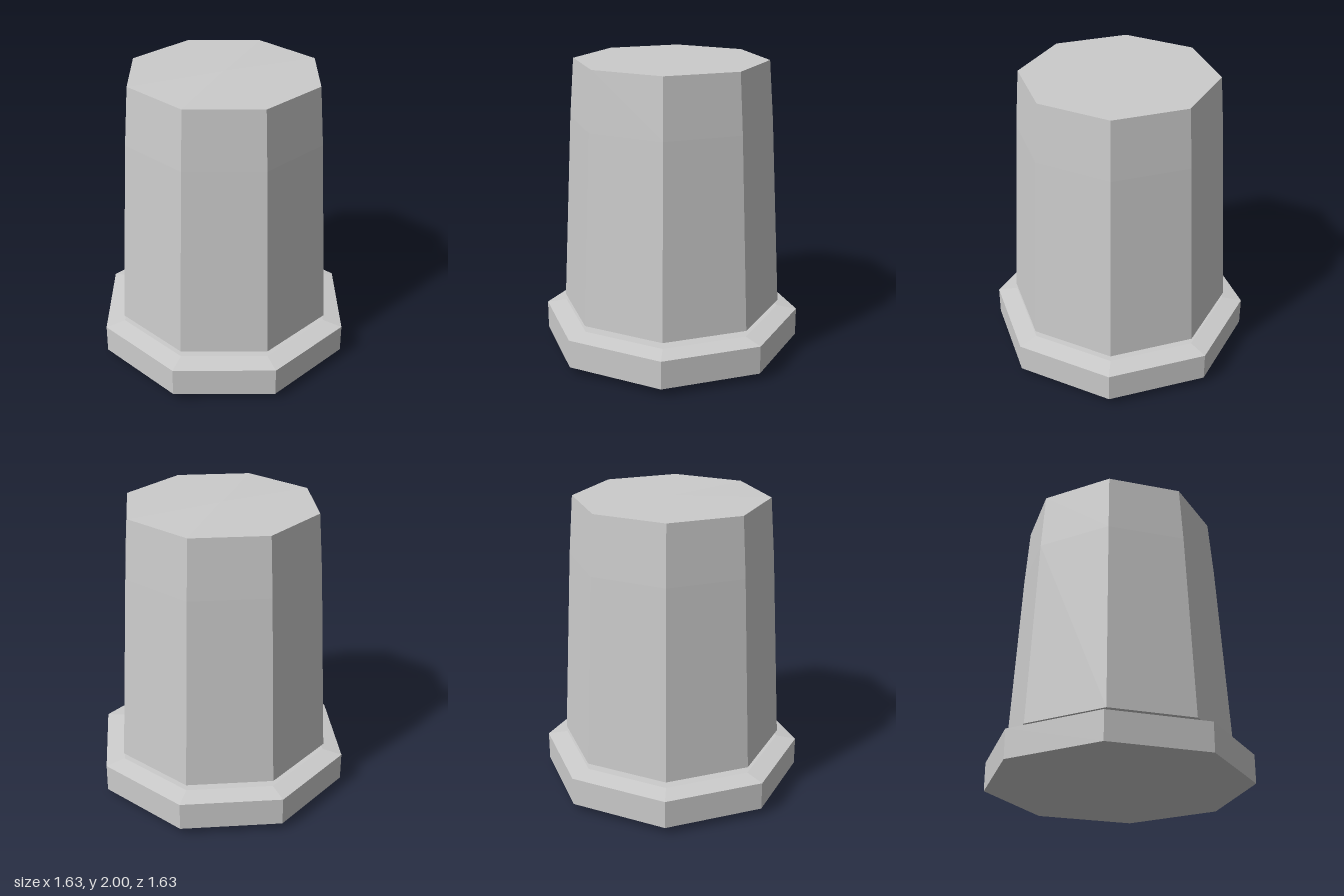
import * as THREE from 'three';

const SIDES = 8;
const TURN = Math.PI / SIDES; // puts a flat side to the front

// Octagonal solid from [distance to flat side, height] pairs, bottom to top
function octagon(name, profile) {
  const points = profile.map(([a, y]) => new THREE.Vector2(a / Math.cos(TURN), y));
  const geometry = new THREE.LatheGeometry(points, SIDES, TURN);
  const material = new THREE.MeshStandardMaterial({ color: 0xcccccc, flatShading: true });
  const mesh = new THREE.Mesh(geometry, material);
  mesh.name = name;
  return mesh;
}

export function createModel() {
  const group = new THREE.Group();
  group.name = 'octagonalPost';

  // Base plate with a bevelled top
  const baseProfile = [[0, 0], [0.815, 0.05], [0.815, 0.243], [0.69, 0.265], [0, 0.268]];
  const base = octagon('basePlate', baseProfile);

  // Spread the lowest point into a short ridge under the plate
  const pos = base.geometry.attributes.position;
  for (let i = 0; i <= SIDES; i++) {
    const phi = TURN + (i * 2 * Math.PI) / SIDES;
    pos.setXYZ(i * baseProfile.length, Math.sign(Math.sin(phi)) * 0.235, 0, 0.07);
  }
  base.geometry.computeVertexNormals();
  group.add(base);

  // Tapered column, floating just above the plate
  group.add(octagon('column', [
    [0, 0.307], [0.693, 0.307], [0.626, 1.6], [0.598, 1.993], [0, 2],
  ]));

  return group;
}
